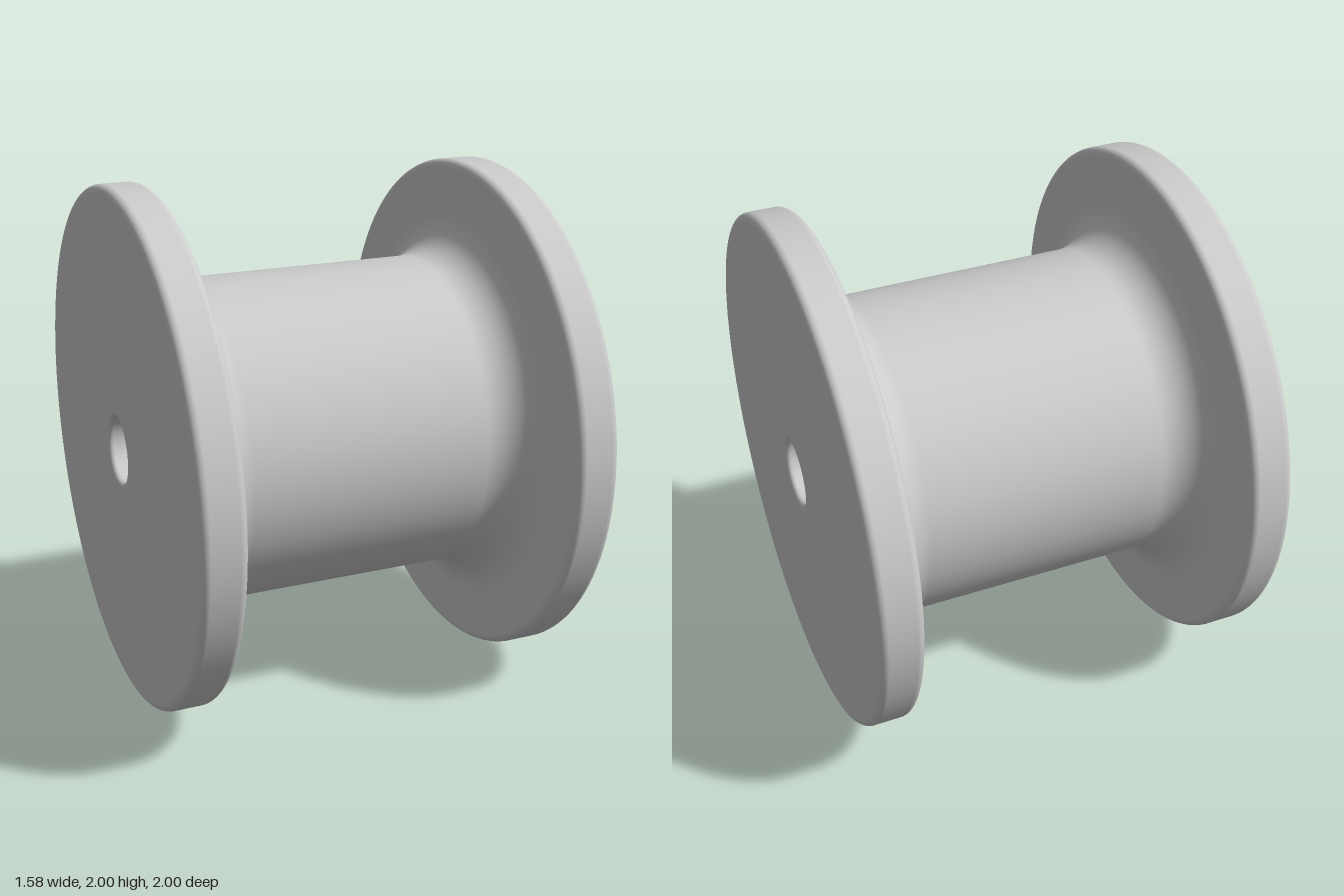
import * as THREE from 'three';

const SEGMENTS = 128;
const BORE = 0.127, DRUM = 0.625, RIM = 1;
const INNER = 0.625, OUTER = 0.79; // flange faces along the axle
const FILLET = 0.16, EDGE = 0.03, LIP = 0.02;

export function createModel() {
  const model = new THREE.Group();
  const material = new THREE.MeshStandardMaterial({ color: 0xcccccc });

  // Revolves a (radius, axial) profile about the x axis
  function revolve(name, path) {
    const geometry = new THREE.LatheGeometry(path.getPoints(10), SEGMENTS);
    geometry.rotateZ(-Math.PI / 2);
    const mesh = new THREE.Mesh(geometry, material);
    mesh.name = name;
    return mesh;
  }

  const spool = new THREE.Group();
  spool.name = 'spool';
  spool.position.y = RIM;
  model.add(spool);

  // Drum, flaring into both flanges
  const c = DRUM + FILLET, a = INNER - FILLET;
  const drum = new THREE.Path();
  drum.absarc(c, -a, FILLET, -Math.PI / 2, -Math.PI, true);
  drum.absarc(c, a, FILLET, Math.PI, Math.PI / 2, true);
  spool.add(revolve('drum', drum));

  // Flanges: inner face, rounded rim, outer face and softened bore lip
  for (const side of ['left', 'right']) {
    const p = new THREE.Path();
    p.moveTo(c, INNER);
    p.lineTo(RIM - EDGE, INNER);
    p.absarc(RIM - EDGE, INNER + EDGE, EDGE, -Math.PI / 2, 0, false);
    p.absarc(RIM - EDGE, OUTER - EDGE, EDGE, 0, Math.PI / 2, false);
    p.absarc(BORE + LIP, OUTER - LIP, LIP, Math.PI / 2, Math.PI, false);
    const flange = revolve(side + 'Flange', p);
    if (side === 'right') flange.rotation.y = Math.PI;
    spool.add(flange);
  }

  // Inside wall of the axle hole
  const bore = new THREE.Path();
  bore.moveTo(BORE, OUTER - LIP);
  bore.lineTo(BORE, LIP - OUTER);
  spool.add(revolve('axleHole', bore));

  return model;
}
